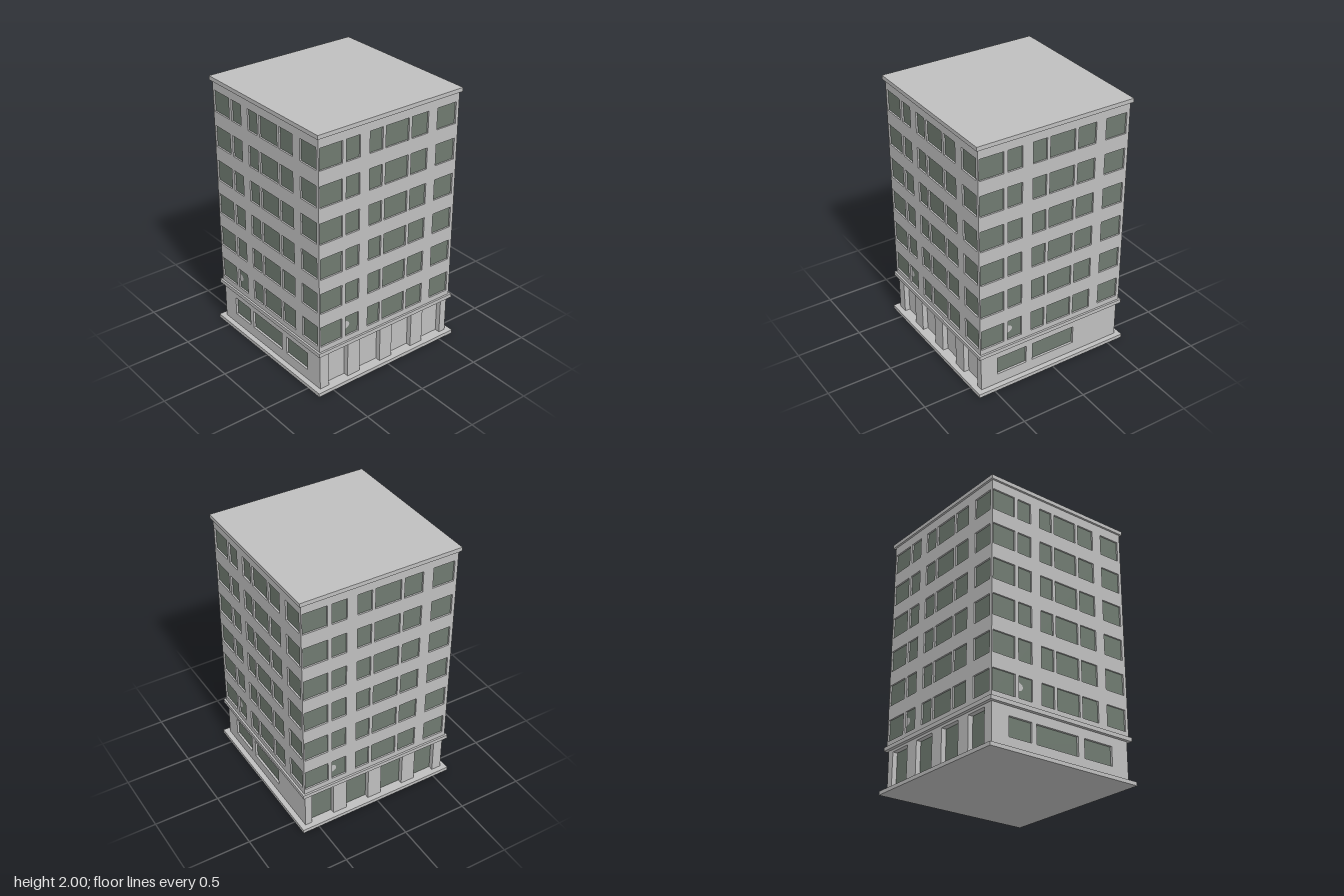
import * as THREE from 'three';

const wallMat = new THREE.MeshStandardMaterial({ color: 0xbfbfbf });
wallMat.name = 'concrete grey';
const glassMat = new THREE.MeshStandardMaterial({ color: 0x6f7a70 });
glassMat.name = 'window green grey';

function box(name, w, h, d, x, y, z, mat = wallMat) {
  const mesh = new THREE.Mesh(new THREE.BoxGeometry(w, h, d), mat);
  mesh.position.set(x, y, z);
  mesh.name = name;
  return mesh;
}

// Wall from u0..u1 and y0..y1 with rectangular openings [u0, u1, y0, y1]; back face at z
function wall(name, u0, u1, y0, y1, z, thickness, openings) {
  const rect = (p, a, b, c, d) => p.moveTo(a, c).lineTo(b, c).lineTo(b, d).lineTo(a, d).closePath();
  const shape = rect(new THREE.Shape(), u0, u1, y0, y1);
  for (const o of openings) shape.holes.push(rect(new THREE.Path(), ...o));
  const mesh = new THREE.Mesh(
    new THREE.ExtrudeGeometry(shape, { depth: thickness, bevelEnabled: false }), wallMat);
  mesh.position.z = z;
  mesh.name = name;
  return mesh;
}

export function createModel() {
  const model = new THREE.Group();
  model.name = 'officeBuilding';

  // Horizontal slabs
  model.add(box('baseSlab', 1.26, 0.028, 1.26, 0, 0.014, 0));
  model.add(box('floorLedge', 1.23, 0.03, 1.23, 0, 0.335, 0));
  model.add(box('roofSlab', 1.23, 0.03, 1.23, 0, 1.985, 0));

  // Inner cores behind the facades
  model.add(box('groundCore', 1.1, 0.3, 1.14, 0, 0.17, 0));
  model.add(box('upperCore', 1.17, 1.63, 1.17, 0, 1.16, 0));

  // Six storeys of windows, the same on each side
  const columns = [[-0.59, -0.405], [-0.375, -0.26], [-0.18, -0.07],
    [-0.045, 0.155], [0.18, 0.325], [0.405, 0.575]];
  const windows = [];
  for (let floor = 0; floor < 6; floor++) {
    const y = 0.39 + floor * 0.27;
    for (const [a, b] of columns) windows.push([a, b, y, y + 0.16]);
  }

  // Ground floor openings: shop windows front and back, tall bays at the sides
  const bays = [[-0.515, -0.345], [-0.235, -0.05], [0.06, 0.245], [0.355, 0.535]]
    .map(([a, b]) => [a, b, 0.027, 0.3]);
  const mirroredBays = bays.map(([a, b, c, d]) => [-b, -a, c, d]);
  const shopFront = [[-0.45, -0.26, 0.11, 0.253], [-0.22, 0.14, 0.11, 0.253], [0.195, 0.445, 0.11, 0.253]];
  const shopBack = [[-0.455, -0.21, 0.11, 0.253], [-0.157, 0.2, 0.11, 0.253]];
  const ground = [shopFront, bays, shopBack, mirroredBays];

  ['front', 'right', 'back', 'left'].forEach((label, i) => {
    const side = new THREE.Group();
    side.name = label + 'Facade';
    side.rotation.y = i * Math.PI / 2;

    // Upper wall, overlapping its neighbour at one corner
    side.add(wall('upperWall', -0.6, 0.585, 0.34, 1.975, 0.585, 0.015, windows));
    side.add(box('upperGlass', 1.17, 1.58, 0.003, -0.006, 1.15, 0.5865, glassMat));

    // Half-round patch in one pane
    const patch = new THREE.Mesh(
      new THREE.CircleGeometry(0.03, 12, -Math.PI / 2, Math.PI), wallMat);
    patch.scale.x = 1.25;
    patch.position.set(-0.371, 0.475, 0.59);
    patch.name = 'panePatch';
    side.add(patch);

    // Ground floor wall and its glazing
    const isSide = i % 2 === 1;
    const half = isSide ? 0.57 : 0.59;
    const depth = isSide ? 0.04 : 0.02;
    side.add(wall('groundWall', -half, half, 0.02, 0.325, 0.59 - depth, depth, ground[i]));
    if (label !== 'right') {
      side.add(box('groundGlass', 1.1, 0.29, 0.003, 0, 0.17, 0.5915 - depth, glassMat));
    }
    model.add(side);
  });

  return model;
}
